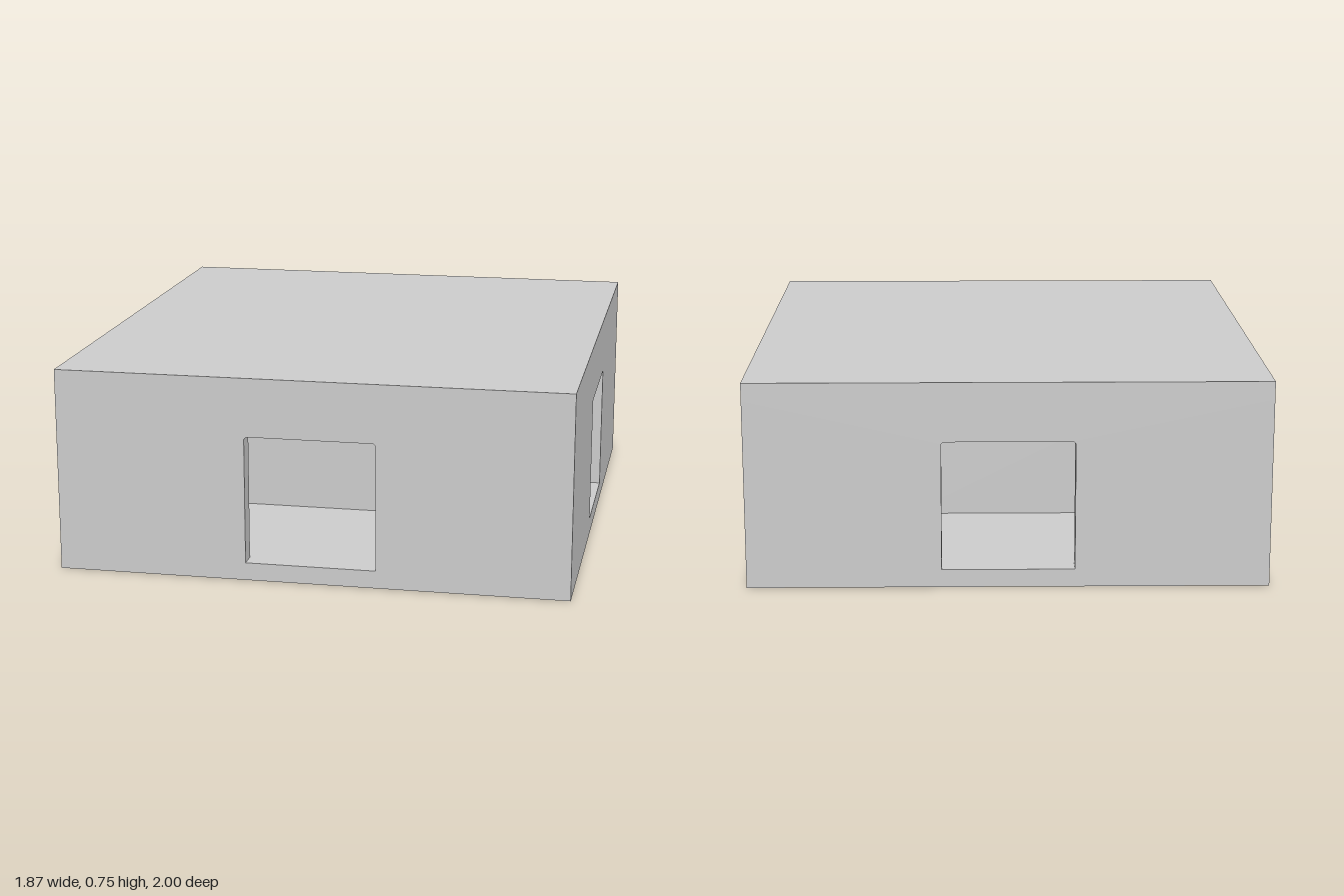
import * as THREE from 'three';

const W = 1.87, D = 2, H = 0.75; // outer size
const T = 0.065;                 // panel thickness
const DOOR_W = 0.476, DOOR_TOP = 0.535;

export function createModel() {
  const group = new THREE.Group();
  const material = new THREE.MeshStandardMaterial({ color: 0xcccccc, flatShading: true });

  const add = (name, geometry) => {
    const mesh = new THREE.Mesh(geometry, material);
    mesh.name = name;
    group.add(mesh);
    return mesh;
  };

  // Box given by its extents on each axis
  const block = (name, x0, x1, y0, y1, z0, z1) =>
    add(name, new THREE.BoxGeometry(x1 - x0, y1 - y0, z1 - z0))
      .position.set((x0 + x1) / 2, (y0 + y1) / 2, (z0 + z1) / 2);

  // Wall with a doorway that reaches down to the floor, outer face toward +z
  const doorWall = (name, width, distance, angle) => {
    const w = width / 2, d = DOOR_W / 2, r = 0.008;
    const s = new THREE.Shape();
    s.moveTo(-w, T);
    s.lineTo(-d, T);
    s.lineTo(-d, DOOR_TOP - r);
    s.lineTo(-d + r, DOOR_TOP);
    s.lineTo(d - r, DOOR_TOP);
    s.lineTo(d, DOOR_TOP - r);
    s.lineTo(d, T);
    s.lineTo(w, T);
    s.lineTo(w, H - T);
    s.lineTo(-w, H - T);
    const g = new THREE.ExtrudeGeometry(s, { depth: T, bevelEnabled: false });
    g.translate(0, 0, distance - T);
    g.rotateY(angle);
    add(name, g);
  };

  // Floor and roof
  block('floor', -W / 2, W / 2, 0, T, -D / 2, D / 2);
  block('roof', -W / 2, W / 2, H - T, H, -D / 2, D / 2);

  // Outer walls, each with a central doorway
  doorWall('frontWall', W, D / 2, 0);
  doorWall('backWall', W, D / 2, Math.PI);
  doorWall('leftWall', D - 2 * T, W / 2, Math.PI / 2);
  doorWall('rightWall', D - 2 * T, W / 2, -Math.PI / 2);

  // Inner partitions that screen the front and back doorways
  const inX = W / 2 - T, near = DOOR_W / 2, far = near + T;
  block('frontPartition', -0.49, inX, T, H - T, near, far);
  block('backPartition', -inX, 0.375, T, H - T, -far, -near);

  // Short return at the free end of the back partition
  block('partitionReturn', 0.375 - T, 0.375, T, H - T, -near, -0.05);

  return group;
}
